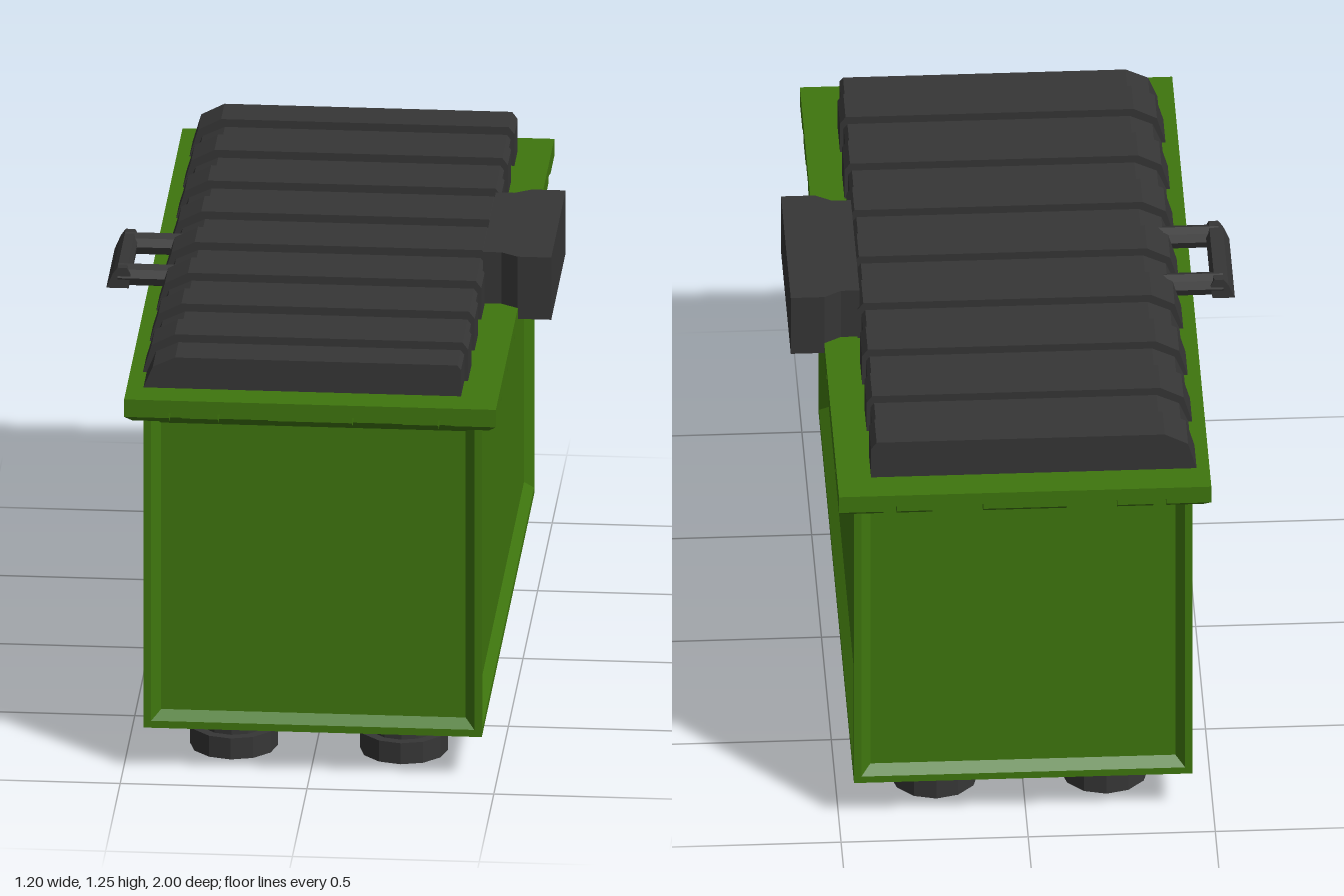
import * as THREE from 'three';

const CX = 0.008; // the bin sits slightly off the middle line

export function createModel() {
  const green = new THREE.MeshStandardMaterial({ color: 0x3f760e });
  green.name = 'green paint';
  const dark = new THREE.MeshStandardMaterial({ color: 0x363636 });
  dark.name = 'dark plastic';
  const root = new THREE.Group();
  root.name = 'wasteContainer';

  const add = (parent, name, geometry, material, x = 0, y = 0, z = 0) => {
    let g = geometry;
    if (g.index) g = g.toNonIndexed();
    g.computeVertexNormals(); // flat facets
    const mesh = new THREE.Mesh(g, material);
    mesh.name = name;
    mesh.position.set(x, y, z);
    parent.add(mesh);
    return mesh;
  };
  const polygon = (points) => new THREE.Shape(points.map(([a, b]) => new THREE.Vector2(a, b)));
  const extrude = (points, depth) =>
    new THREE.ExtrudeGeometry(polygon(points), { depth, bevelEnabled: false });

  // Wall facing +z: flat border, bevel, recessed panel
  const Y0 = 0.125, Y1 = 1.035;
  function wallGeometry(halfW, depth) {
    const loops = [[0, 0], [0.02, 0], [0.045, 0.025]].map(([inset, d]) => {
      const w = halfW - inset, z = depth - d;
      return [[-w, Y0 + inset, z], [w, Y0 + inset, z], [w, Y1 - inset, z], [-w, Y1 - inset, z]];
    });
    const pos = [];
    const quad = (a, b, c, d) => pos.push(...a, ...b, ...c, ...a, ...c, ...d);
    for (let l = 0; l < 2; l++) {
      for (let i = 0; i < 4; i++) {
        const j = (i + 1) % 4;
        quad(loops[l][i], loops[l][j], loops[l + 1][j], loops[l + 1][i]);
      }
    }
    quad(...loops[2]);
    const g = new THREE.BufferGeometry();
    g.setAttribute('position', new THREE.Float32BufferAttribute(pos, 3));
    return g;
  }

  // Lip piece under the rim, running from t0 to t1, mitred at the corners
  const toFront = new THREE.Matrix4().makeBasis(
    new THREE.Vector3(0, 0, -1), new THREE.Vector3(0, 1, 0), new THREE.Vector3(1, 0, 0));
  function lipGeometry(t0, t1, halfW, depth, inner, notch) {
    const profile = notch
      ? [[0, 1.066], [inner, 1.035], [inner, 1.066]]
      : [[0, 1.066], [0, 1.05], [0.02, 1.033], [inner, 1.033], [inner, 1.066]];
    const g = extrude(profile, t1 - t0).translate(0, 0, t0);
    const p = g.attributes.position;
    for (let i = 0; i < p.count; i++) {
      const t = p.getZ(i);
      if (Math.abs(t) > halfW - 1e-4) p.setZ(i, Math.sign(t) * (halfW - p.getX(i)));
    }
    return g.applyMatrix4(toFront).translate(0, 0, depth);
  }

  // Four walls with their lips
  const BODY = [0.4525, 0.905], RIM = [0.4975, 1];
  const NOTCHES = [
    [[0.112, 0.247], [0.343, 0.378]],
    [[0.12, 0.245], [0.345, 0.455], [0.58, 0.70], [0.80, 0.87]],
  ];
  const sideNames = ['front', 'left', 'back', 'right'];
  for (let k = 0; k < 4; k++) {
    const a = k % 2, b = 1 - a;
    const side = new THREE.Group();
    side.name = sideNames[k] + 'Side';
    side.position.x = CX;
    side.rotation.y = k * Math.PI / 2;
    root.add(side);
    add(side, 'wall', wallGeometry(BODY[a], BODY[b]), green);
    const marks = NOTCHES[a].flat();
    const cuts = [-RIM[a], ...marks.map((m) => -m).reverse(), ...marks, RIM[a]];
    for (let i = 0; i < cuts.length - 1; i++) {
      const notch = i % 2 === 1 && i !== marks.length;
      const isNotch = notch || (i === marks.length && i % 2 === 1);
      add(side, isNotch ? 'lipNotch' : 'lip',
        lipGeometry(cuts[i], cuts[i + 1], RIM[a], RIM[b], RIM[b] - BODY[b] + 0.002, isNotch), green);
    }
  }

  // Floor and rim slab
  add(root, 'floor', new THREE.BoxGeometry(0.905, 0.01, 1.81), green, CX, Y0 + 0.005, 0);
  add(root, 'rim', new THREE.BoxGeometry(0.995, 0.035, 2), green, CX, 1.0825, 0);

  // Lid made of alternating high and low ribs
  const lid = new THREE.Group();
  lid.name = 'lid';
  root.add(lid);
  const ribs = 16, pitch = 1.815 / ribs;
  const highRib = [[-0.455, 1.1], [0.415, 1.1], [0.415, 1.19], [0.4, 1.21], [-0.37, 1.21], [-0.432, 1.178]];
  const lowRib = [[-0.445, 1.1], [0.405, 1.1], [0.405, 1.175], [0.395, 1.188], [-0.36, 1.188], [-0.42, 1.16]];
  for (let i = 0; i < ribs; i++) {
    add(lid, i % 2 ? 'lowRib' : 'highRib', extrude(i % 2 ? lowRib : highRib, pitch),
      dark, 0, 0, -0.9075 + i * pitch);
  }

  // Hinge housing, narrowing towards the lid
  const hinge = extrude([[0.41, -0.22], [0.46, -0.22], [0.505, -0.248], [0.595, -0.248],
    [0.595, 0.248], [0.505, 0.248], [0.46, 0.22], [0.41, 0.22]], 0.178);
  hinge.rotateX(-Math.PI / 2);
  add(root, 'hingeHousing', hinge, dark, 0, 1.069, 0);

  // Handle: two arms and a slanted grip
  const handle = new THREE.Group();
  handle.name = 'handle';
  root.add(handle);
  for (const z of [-0.062, 0.168]) {
    const arm = new THREE.CylinderGeometry(0.031, 0.031, 0.17, 8).rotateZ(Math.PI / 2);
    add(handle, 'handleArm', arm, dark, -0.485, 1.134, z);
  }
  const grip = extrude([[-0.6, 1.105], [-0.54, 1.105], [-0.535, 1.145], [-0.545, 1.163],
    [-0.57, 1.163], [-0.583, 1.145]], 0.288);
  add(handle, 'handleGrip', grip, dark, 0, 0, -0.091);

  // Wheels
  for (const x of [-0.22, 0.235]) {
    for (const z of [-0.683, 0.683]) {
      const wheel = new THREE.Group();
      wheel.name = 'wheel';
      wheel.position.set(x, 0, z);
      root.add(wheel);
      add(wheel, 'tyre', new THREE.CylinderGeometry(0.118, 0.118, 0.06, 12), dark, 0, 0.03, 0);
      add(wheel, 'wheelMount', new THREE.CylinderGeometry(0.091, 0.091, 0.07, 12), dark, 0, 0.092, 0);
    }
  }
  return root;
}
